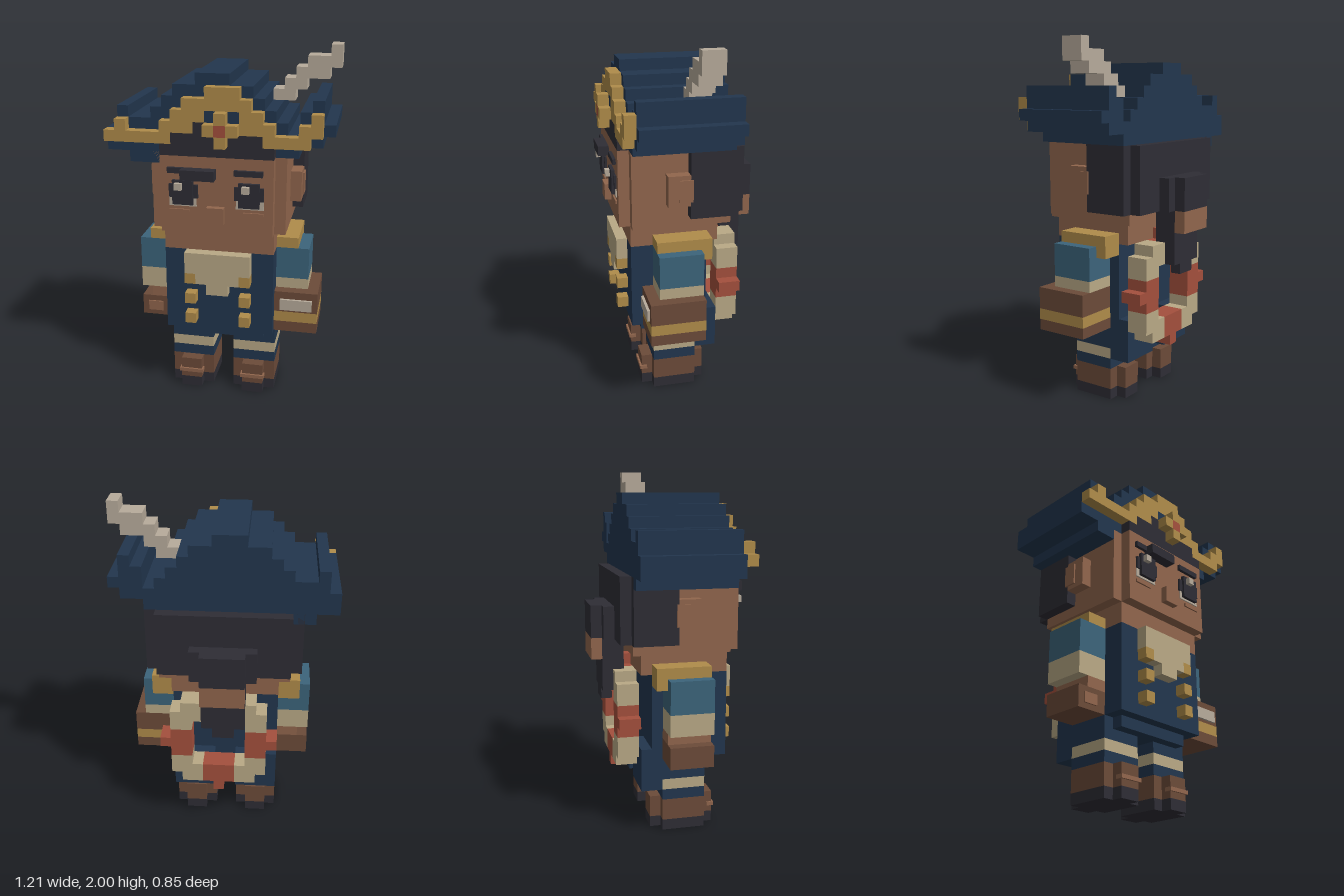
import * as THREE from 'three';

const U = 2 / 33; // one block

const mat = (name, color) => {
  const m = new THREE.MeshStandardMaterial({ color });
  m.name = name;
  return m;
};

export function createModel() {
  const navy = mat('navy', 0x22364e), gold = mat('gold', 0xb08c4a), skin = mat('skin', 0x91664d),
    brown = mat('leather', 0x6c4b39), dark = mat('charcoal', 0x2e2d35), cream = mat('cream', 0xb9a986),
    grey = mat('pale grey', 0xb7ab9b), teal = mat('teal', 0x3c647b), red = mat('red', 0xa4503d);

  const root = new THREE.Group();
  const group = (name) => {
    const g = new THREE.Group();
    g.name = name;
    root.add(g);
    return g;
  };
  // Box between two corners, measured in blocks
  const box = (g, name, m, x0, x1, y0, y1, z0, z1) => {
    const mesh = new THREE.Mesh(new THREE.BoxGeometry((x1 - x0) * U, (y1 - y0) * U, (z1 - z0) * U), m);
    mesh.position.set((x0 + x1) / 2 * U, (y0 + y1) / 2 * U, (z0 + z1) / 2 * U);
    mesh.name = name;
    g.add(mesh);
  };
  // Same box on either side
  const sided = (g, name, m, s, x0, x1, ...r) =>
    box(g, name, m, Math.min(s * x0, s * x1), Math.max(s * x0, s * x1), ...r);

  // Legs, boots and coat tails
  const legs = group('legs');
  for (const s of [-1, 1]) {
    for (const [name, m, y0, y1] of [['sole', dark, 0, 1], ['boot', brown, 1, 3]]) {
      sided(legs, name, m, s, 1, 5, y0, y1, -1, 3);
      sided(legs, name + 'Toe', m, s, 2, 4, y0, y1, 3, 4);
      sided(legs, name + 'Heel', m, s, 2, 4, y0, y1, -2, -1);
    }
    sided(legs, 'bootStrap', skin, s, 1.85, 4.15, 1.6, 1.95, 3.5, 4.18);
    sided(legs, 'trouserCuff', navy, s, 1, 5, 3, 4, -1, 3);
    sided(legs, 'trouserBand', cream, s, 1, 5, 4, 5, -1, 3);
    sided(legs, 'trouserLeg', navy, s, 1, 5, 5, 6, -1, 3);
    sided(legs, 'coatTail', navy, s, 1, 5, 4, 8, -3, -1);
  }

  // Coat, shirt front and buttons
  const torso = group('torso');
  box(torso, 'coat', navy, -5, 5, 7, 15, -2, 5);
  box(torso, 'coatHem', navy, -5, 5, 6, 7, -2, 3);
  box(torso, 'coatHemFront', navy, -4, 4, 6, 7, 3, 4);
  box(torso, 'shirtFront', cream, -3, 3, 13, 15, 5, 6);
  box(torso, 'shirtFrontMiddle', cream, -2, 2, 12, 13, 5, 6);
  box(torso, 'shirtFrontTip', cream, -1, 1, 11, 12, 5, 6);
  for (const s of [-1, 1]) {
    for (const y of [8, 10, 12]) sided(torso, 'button', gold, s, 2, 3, y, y + 1, 5, 6);
    sided(torso, 'epaulette', gold, s, 4, 7, 15, 16, -2, 3);
    sided(torso, 'epauletteDrop', gold, s, 5, 7, 14, 15, -2, -1);
  }

  // Left arm with a heavy gauntlet
  const leftArm = group('leftArm');
  box(leftArm, 'sleeve', teal, 5, 8, 12, 15, -1, 3);
  box(leftArm, 'cuff', cream, 5, 8, 11, 12, -1, 3);
  box(leftArm, 'gauntlet', brown, 5, 9, 9, 11, -1, 4);
  box(leftArm, 'gauntletBand', gold, 5, 9, 8, 9, -1, 4);
  box(leftArm, 'gauntletEnd', brown, 5, 9, 7, 8, -1, 4);
  box(leftArm, 'gauntletPlate', grey, 5.55, 8.5, 9.25, 10.3, 3.5, 4.25);

  // Right arm with a glove
  const rightArm = group('rightArm');
  box(rightArm, 'sleeve', teal, -8, -5, 12, 15, -1, 3);
  box(rightArm, 'cuff', cream, -8, -5, 10, 12, -1, 3);
  box(rightArm, 'wrist', skin, -7, -5, 9, 10, -1, 3);
  box(rightArm, 'glove', brown, -8, -5, 7, 9, -1, 3);
  box(rightArm, 'glovePatch', skin, -7.4, -6, 7.5, 8.45, 2.5, 3.15);

  // Striped ring on the back, blocks merged along each row by colour
  const ring = group('lifeRing');
  for (let dy = -5; dy <= 5; dy++) {
    const colourAt = (dx) => {
      const d = dx * dx + dy * dy;
      if (d < 9 || d > 25) return null;
      return Math.round(Math.atan2(dy, dx) / (Math.PI / 4)) % 2 === 0 ? red : cream;
    };
    for (let dx = -5; dx <= 5;) {
      const c = colourAt(dx), start = dx;
      while (dx <= 5 && colourAt(dx) === c) dx++;
      if (c) box(ring, 'ringBlock', c, start, dx, dy + 10, dy + 11, -5, -3);
    }
  }

  // Head
  const head = group('head');
  box(head, 'neck', skin, -5, 5, 15, 17, -3, 5);
  box(head, 'skull', skin, -6, 6, 17, 24, -3.9, 5);
  box(head, 'face', skin, -5, 5, 17, 24, 5, 6);
  box(head, 'nose', skin, -0.8, 0.75, 18.1, 19.6, 6, 6.6);
  box(head, 'raisedBrow', dark, -3, 0, 22.1, 23, 6, 7);
  box(head, 'rightBrow', dark, -4.3, -3, 22.5, 23, 6, 6.3);
  box(head, 'leftBrow', dark, 1.6, 4.1, 22.5, 23, 6, 6.3);
  for (const s of [-1, 1]) {
    sided(head, 'ear', skin, s, 6, 7, 19.2, 22, 0, 2);
    sided(head, 'earRim', skin, s, 7, 7.15, 19.6, 21.6, -0.2, 1);
    sided(head, 'eyeWhite', grey, s, 1.75, 4.2, 19.5, 20.3, 6, 6.1);
    sided(head, 'eyeLash', dark, s, 1.6, 4.2, 20.3, 21.5, 6, 6.2);
    sided(head, 'pupil', dark, s, 2, 3.85, 19.7, 21.9, 6.1, 6.4);
    sided(head, 'cheekLine', skin, s, 2.4, 4.2, 18.9, 19.2, 6, 6.15);
  }
  box(head, 'rightEyeGlint', grey, -3.6, -2.95, 21.1, 21.7, 6.4, 6.8);
  box(head, 'leftEyeGlint', grey, 2.35, 3, 21.1, 21.7, 6.4, 6.8);

  // Hair and tied ponytail
  const hair = group('hair');
  box(hair, 'hairCap', dark, -7, 7, 18, 24, -4, 0);
  box(hair, 'hairBack', dark, -6, 6, 18, 24, -5, -4);
  box(hair, 'bunBase', dark, -3, 3, 18, 21, -6, -5);
  box(hair, 'bun', dark, -2, 2, 18, 21, -7, -6);
  box(hair, 'hairTie', skin, -2, 2, 16, 18, -7, -6);
  box(hair, 'ponytailRoot', dark, -2, 2, 14, 18, -5.02, -4);
  box(hair, 'ponytail', dark, -2, 2, 13, 18, -6, -5);
  box(hair, 'ponytailTip', dark, -1, 1, 12, 13, -6, -5);
  box(hair, 'fringe', dark, -5, 5, 24, 25, 5, 6);
  box(hair, 'fringeMiddle', dark, -4, 4, 25, 26, 5, 6);
  box(hair, 'fringeTop', dark, -2, 2, 26, 27, 5, 6);

  // Hat: columns of [x0, x1, bottom, top] running front to back
  const hat = group('hat');
  const columns = [
    [-10, -9, 24, 26], [-9, -8, 24, 28], [-8, -6, 23, 27], [-6, -5, 23, 28], [-5, -4, 24, 29],
    [-4, -2, 24, 30], [-2, 1, 24, 31], [1, 3, 24, 30], [3, 4, 24, 29], [4, 5, 24, 28],
    [5, 6, 24, 27], [6, 7, 24, 26], [7, 8, 25, 28], [8, 9, 25, 29], [9, 10, 26, 27],
  ];
  for (const [x0, x1, y0, y1] of columns) box(hat, 'hatFold', navy, x0, x1, y0, y1, -4, 5);

  // Gold trim: rows of [x0, x1, bottom]
  const trim = [
    [-1, 2, 29], [-3, 3, 28], [-4, -1, 27], [2, 4, 27], [-5, -2, 26], [2, 5, 26],
    [-10, -4, 25], [4, 8, 25], [-9, -8, 26], [7, 9, 26], [8, 9, 27],
  ];
  for (const [x0, x1, y] of trim) box(hat, 'hatTrim', gold, x0, x1, y, y + 1, 5, 6);
  box(hat, 'hatFront', navy, -1, 2, 27, 28, 5, 6);

  // Jewelled emblem
  for (const [x, y] of [[0, 27], [-1, 26], [1, 26], [0, 25]])
    box(hat, 'emblemArm', gold, x, x + 1, y, y + 1, 6, 7);
  box(hat, 'emblemJewel', red, 0, 1, 26, 27, 6, 7);

  // Feather
  for (const [x, y0, y1] of [[4, 28, 29], [5, 28, 30], [6, 29, 31], [7, 30, 32], [8, 30, 32], [9, 31, 33]])
    box(hat, 'feather', grey, x, x + 1, y0, y1, -2, 0);

  return root;
}
